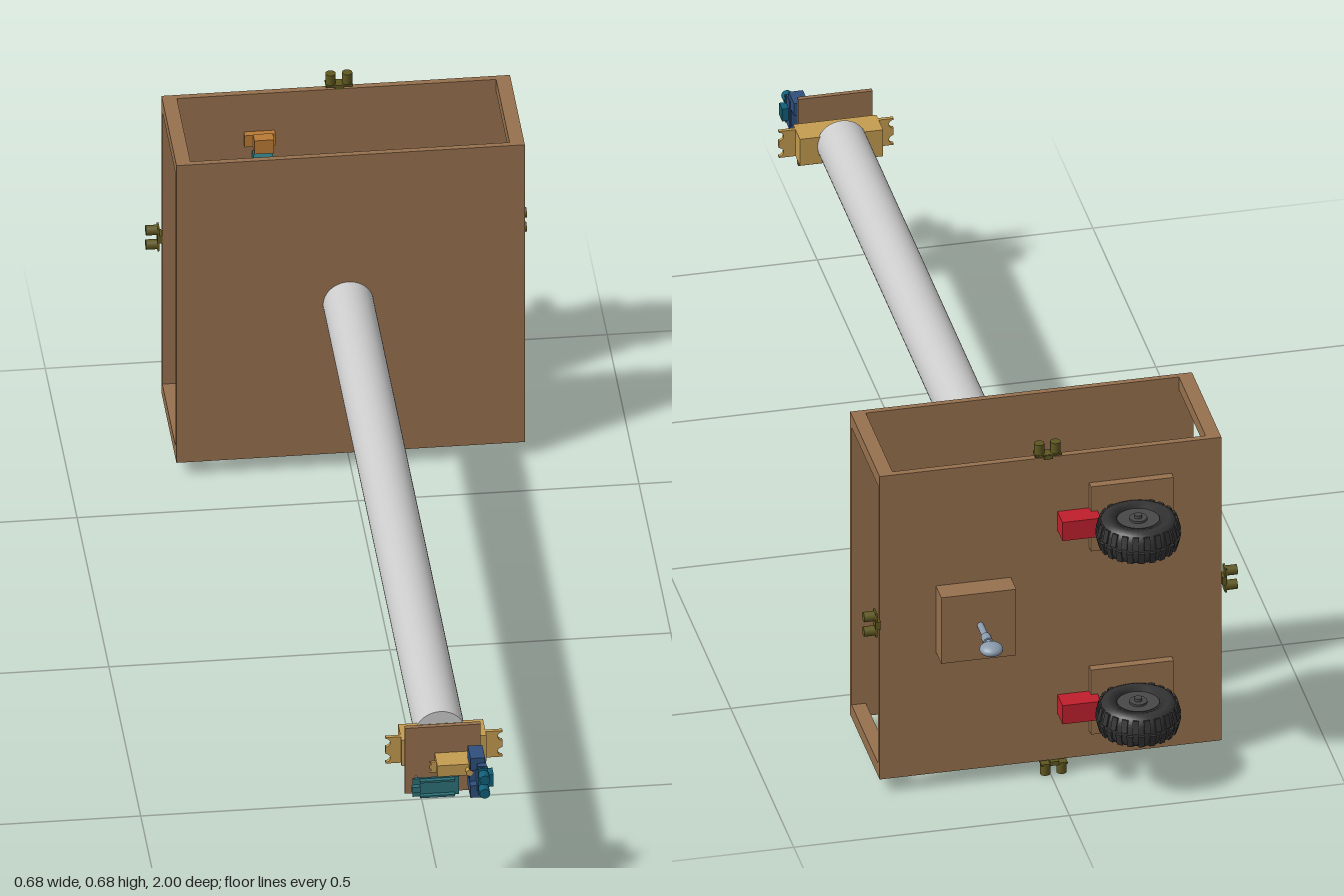
import * as THREE from 'three';
import { RoundedBoxGeometry } from 'three/addons/geometries/RoundedBoxGeometry.js';

const mat = (color) => new THREE.MeshStandardMaterial({ color });
const wood = mat(0x96714e), pale = mat(0xcccccc), tan = mat(0xc49c50), rubber = mat(0x333333);
const hubMat = mat(0x484848), red = mat(0xc01f2c), olive = mat(0x5e5720), blue = mat(0x2f4f7c);
const teal = mat(0x2c7078), deepTeal = mat(0x125f78), steel = mat(0x8a9bac), slate = mat(0x5c6163), orange = mat(0xb87a35);

function add(parent, name, geo, material, x = 0, y = 0, z = 0) {
  const m = new THREE.Mesh(geo, material);
  m.name = name;
  m.position.set(x, y, z);
  parent.add(m);
  return m;
}

// box given by its min and max corners
function box(parent, name, material, [x0, y0, z0], [x1, y1, z1]) {
  return add(parent, name, new THREE.BoxGeometry(x1 - x0, y1 - y0, z1 - z0), material,
    (x0 + x1) / 2, (y0 + y1) / 2, (z0 + z1) / 2);
}

function cyl(parent, name, material, r, len, axis, x, y, z, seg = 24) {
  const g = new THREE.CylinderGeometry(r, r, len, seg);
  if (axis === 'z') g.rotateX(Math.PI / 2);
  if (axis === 'x') g.rotateZ(Math.PI / 2);
  return add(parent, name, g, material, x, y, z);
}

// servo flange: a plate with two round notches in each end
function flangeGeometry(w, h, depth, r) {
  const s = new THREE.Shape(), a = w / 2, b = h / 2, n = h * 0.29;
  s.moveTo(-a, -b);
  s.lineTo(a, -b);
  for (const y of [-n, n]) {
    s.lineTo(a, y - r);
    s.absarc(a, y, r, -Math.PI / 2, Math.PI / 2, true);
  }
  s.lineTo(a, b);
  s.lineTo(-a, b);
  for (const y of [n, -n]) {
    s.lineTo(-a, y + r);
    s.absarc(-a, y, r, Math.PI / 2, -Math.PI / 2, true);
  }
  s.closePath();
  return new THREE.ExtrudeGeometry(s, { depth, bevelEnabled: false, curveSegments: 8 });
}

// tyre with tread lugs, axle along y
function wheel() {
  const g = new THREE.Group();
  g.name = 'wheel';
  const profile = [[0.038, -0.028], [0.055, -0.032], [0.065, -0.027], [0.071, -0.015], [0.072, 0],
    [0.071, 0.015], [0.065, 0.027], [0.055, 0.032], [0.038, 0.028], [0.038, -0.028]];
  add(g, 'tyre', new THREE.LatheGeometry(profile.map((p) => new THREE.Vector2(...p)), 40), rubber);
  const lug = new THREE.BoxGeometry(0.007, 0.024, 0.011), count = 22;
  for (let i = 0; i < count * 2; i++) {
    const side = i % 2 ? 1 : -1, a = (i * Math.PI) / count;
    const m = add(g, 'treadLug', lug, rubber, 0.0695 * Math.cos(a), side * 0.014, -0.0695 * Math.sin(a));
    m.rotation.set(0, a, side * 0.25);
  }
  cyl(g, 'rim', hubMat, 0.039, 0.05, 'y', 0, 0, 0, 32);
  cyl(g, 'hub', hubMat, 0.016, 0.058, 'y', 0, 0, 0, 20);
  return g;
}

// twin-barrel distance sensor pointing along +y, base at y = 0
function distanceSensor() {
  const g = new THREE.Group();
  g.name = 'distanceSensor';
  box(g, 'bracket', olive, [-0.008, 0, -0.012], [0.008, 0.008, 0.01]);
  box(g, 'circuitBoard', olive, [-0.024, 0.005, -0.01], [0.024, 0.0085, 0.01]);
  for (const s of [-1, 1]) cyl(g, 'barrel', olive, 0.0092, 0.021, 'y', s * 0.0148, 0.0182, 0, 20);
  return g;
}

function chassis() {
  const g = new THREE.Group();
  g.name = 'chassis';
  box(g, 'frontPanel', wood, [-0.31, 0.03, -0.627], [0.31, 0.65, -0.616]);
  box(g, 'backPanel', wood, [-0.31, 0.03, -0.85], [0.31, 0.65, -0.838]);
  for (const x of [-0.297, 0.297]) for (const y of [0.043, 0.637])
    add(g, 'cornerPost', new THREE.BoxGeometry(0.026, 0.026, 0.211), wood, x, y, -0.7325);
  // parts fixed to the inside of the back panel
  box(g, 'battery', slate, [-0.27, 0.24, -0.838], [-0.16, 0.47, -0.74]);
  add(g, 'powerPack', new RoundedBoxGeometry(0.11, 0.148, 0.026, 3, 0.012), rubber, 0.195, 0.358, -0.825);
  for (const y of [0.56, 0.135]) {
    box(g, 'driverBase', orange, [-0.165, y - 0.012, -0.838], [-0.11, y + 0.012, -0.825]);
    box(g, 'driverBlock', orange, [-0.15, y - 0.014, -0.825], [-0.115, y + 0.014, -0.803]);
  }
  box(g, 'controlBoard', teal, [-0.15, 0.515, -0.838], [-0.115, 0.532, -0.81]);
  // sensors at the middle of each edge
  [[0.005, 0.65, 0], [-0.31, 0.359, 1], [-0.006, 0.03, 2], [0.31, 0.349, 3]].forEach(([x, y, turn]) => {
    const s = distanceSensor();
    s.position.set(x, y, -0.846);
    s.rotation.z = (turn * Math.PI) / 2;
    g.add(s);
  });
  return g;
}

function runningGear() {
  const g = new THREE.Group();
  g.name = 'runningGear';
  for (const y of [0.522, 0.147]) {
    box(g, 'wheelMount', wood, [-0.22, y - 0.066, -0.865], [-0.07, y + 0.066, -0.85]);
    box(g, 'motor', red, [-0.082, y - 0.022, -0.892], [-0.012, y + 0.016, -0.852]);
    cyl(g, 'axle', hubMat, 0.007, 0.07, 'y', -0.142, y, -0.925, 12);
    const w = wheel();
    w.position.set(-0.142, y, -0.925);
    g.add(w);
  }
  // caster on its spacer block
  box(g, 'casterBlock', wood, [0.072, 0.278, -0.893], [0.208, 0.413, -0.85]);
  cyl(g, 'casterStem', steel, 0.006, 0.08, 'z', 0.137, 0.348, -0.93, 16);
  cyl(g, 'casterCollar', steel, 0.009, 0.02, 'z', 0.137, 0.348, -0.945, 16);
  add(g, 'casterWheel', new THREE.SphereGeometry(0.021, 24, 16), steel, 0.137, 0.348, -0.979).scale.y = 0.55;
  return g;
}

function sensorHead() {
  const g = new THREE.Group();
  g.name = 'sensorHead';
  // pan servo on the mast tip
  box(g, 'panServoBody', tan, [-0.078, 0.307, 0.818], [0.073, 0.361, 0.872]);
  add(g, 'panServoFlange', flangeGeometry(0.208, 0.054, 0.007, 0.0085), tan, -0.001, 0.334, 0.853);
  cyl(g, 'panServoShaft', tan, 0.014, 0.022, 'z', -0.007, 0.334, 0.881);
  box(g, 'headPlate', wood, [-0.075, 0.265, 0.888], [0.06, 0.401, 0.897]);
  // controller board with pin headers
  box(g, 'controllerBoard', teal, [-0.063, 0.267, 0.908], [0.02, 0.304, 0.912]);
  for (const y of [0.27, 0.301]) box(g, 'pinHeader', teal, [-0.05, y - 0.002, 0.912], [0.012, y + 0.002, 0.92]);
  box(g, 'boardPlug', teal, [-0.065, 0.28, 0.912], [-0.05, 0.292, 0.921]);
  for (const x of [-0.055, 0.012]) for (const y of [0.272, 0.299])
    cyl(g, 'standoff', steel, 0.002, 0.012, 'z', x, y, 0.902, 8);
  // tilt servo
  box(g, 'tiltServoBody', tan, [-0.022, 0.323, 0.897], [0.036, 0.346, 0.94]);
  add(g, 'tiltServoFlange', flangeGeometry(0.085, 0.022, 0.004, 0.0035), tan, 0.008, 0.334, 0.92);
  cyl(g, 'tiltServoShaft', tan, 0.006, 0.012, 'z', 0.034, 0.334, 0.945, 16);
  // tilt bracket and distance sensor
  box(g, 'bracketBase', blue, [0.034, 0.291, 0.944], [0.06, 0.373, 0.95]);
  for (const y of [0.291, 0.348]) box(g, 'bracketArm', blue, [0.034, y, 0.922], [0.06, y + 0.025, 0.965]);
  box(g, 'sensorCradle', blue, [0.046, 0.305, 0.95], [0.062, 0.362, 0.976]);
  box(g, 'sensorBoard', deepTeal, [0.046, 0.306, 0.974], [0.064, 0.36, 0.98]);
  for (const y of [0.319, 0.347]) cyl(g, 'sensorBarrel', deepTeal, 0.0095, 0.021, 'z', 0.056, y, 0.989, 20);
  box(g, 'sensorPlug', deepTeal, [0.062, 0.32, 0.955], [0.074, 0.345, 0.978]);
  return g;
}

export function createModel() {
  const model = new THREE.Group();
  model.name = 'wheeledMast';
  model.add(chassis(), runningGear(), sensorHead());
  cyl(model, 'mast', pale, 0.045, 1.662, 'z', -0.004, 0.341, -0.007, 48);
  cyl(model, 'mastCablePort', pale, 0.018, 0.006, 'x', 0.04, 0.341, -0.75, 24);
  return model;
}
